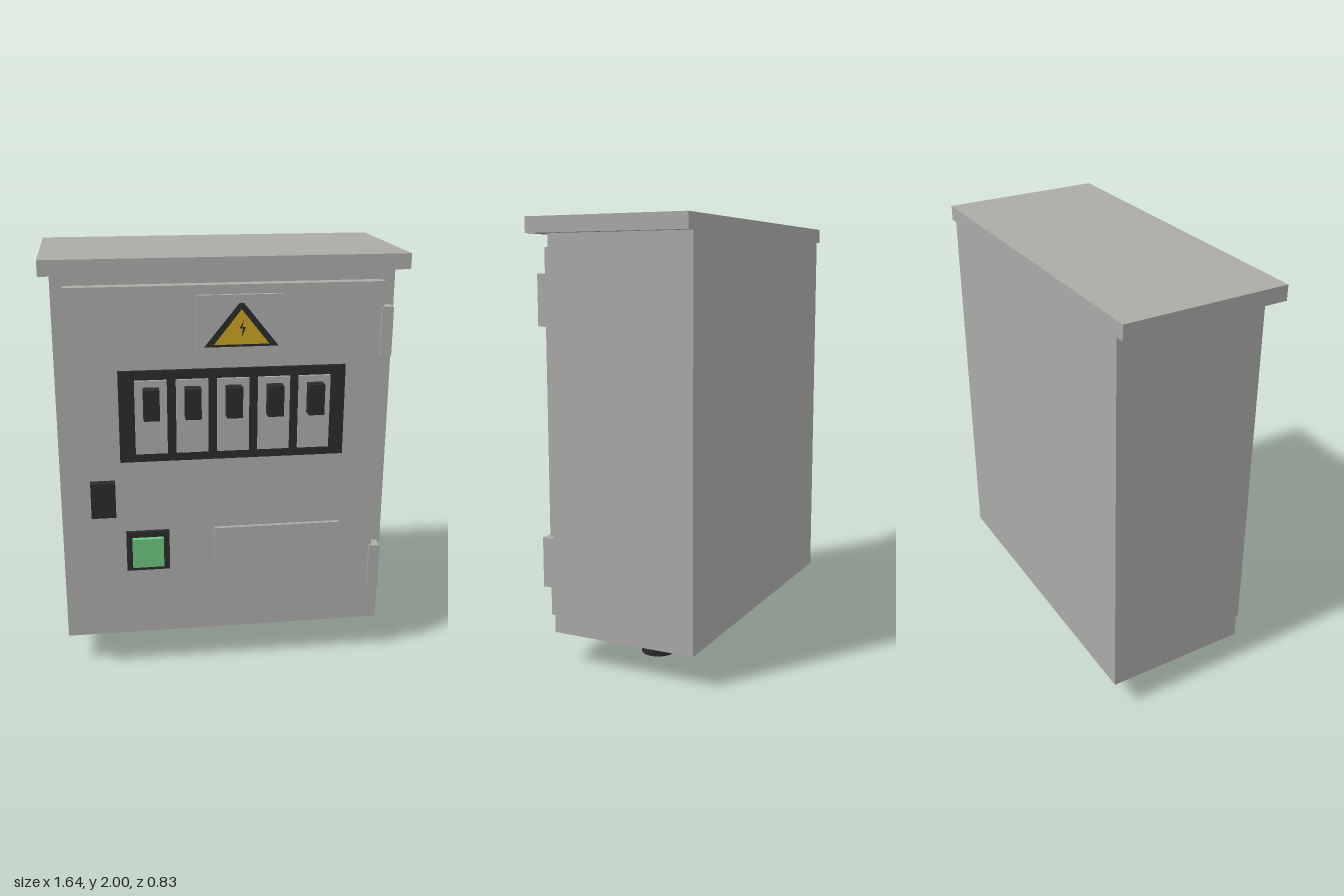
import * as THREE from 'three';

function material(name, color) {
  const m = new THREE.MeshStandardMaterial({ color });
  m.name = name;
  return m;
}

export function createModel() {
  const grey = material('cabinet grey', 0xaaaba7);
  const black = material('black plastic', 0x2b2b2b);
  const green = material('button green', 0x6cc47e);
  const yellow = material('warning yellow', 0xc9a21f);

  const model = new THREE.Group();
  model.name = 'electricalCabinet';

  // Box given by its limits on each axis
  function box(name, mat, [x0, x1], [y0, y1], [z0, z1]) {
    const mesh = new THREE.Mesh(new THREE.BoxGeometry(x1 - x0, y1 - y0, z1 - z0), mat);
    mesh.position.set((x0 + x1) / 2, (y0 + y1) / 2, (z0 + z1) / 2);
    mesh.name = name;
    model.add(mesh);
  }

  // Thin flat plate cut from an outline
  function plate(name, mat, points, z, depth) {
    const shape = new THREE.Shape(points.map(([x, y]) => new THREE.Vector2(x, y)));
    const mesh = new THREE.Mesh(new THREE.ExtrudeGeometry(shape, { depth, bevelEnabled: false }), mat);
    mesh.position.z = z;
    mesh.name = name;
    model.add(mesh);
  }

  // Housing, overhanging roof and door
  box('housing', grey, [-0.775, 0.775], [0.15, 1.93], [-0.415, 0.275]);
  box('roof', grey, [-0.82, 0.82], [1.93, 2], [-0.415, 0.36]);
  box('door', grey, [-0.72, 0.715], [0.205, 1.875], [0.275, 0.333]);
  for (const y of [0.35, 1.53]) box('hinge', grey, [0.703, 0.757], [y, y + 0.23], [0.275, 0.345]);

  // Warning sign
  box('warningPlate', grey, [-0.145, 0.253], [1.575, 1.833], [0.333, 0.353]);
  plate('warningBorder', black, [[-0.108, 1.6], [0.23, 1.6], [0.072, 1.795], [0.05, 1.795]], 0.353, 0.002);
  plate('warningTriangle', yellow, [[-0.063, 1.611], [0.187, 1.611], [0.061, 1.768]], 0.355, 0.002);
  plate('warningBolt', black,
    [[0.062, 1.642], [0.08, 1.69], [0.064, 1.688], [0.07, 1.72], [0.052, 1.682], [0.066, 1.682]], 0.357, 0.001);

  // Breaker row
  box('breakerPanel', black, [-0.495, 0.545], [1.07, 1.5], [0.333, 0.346]);
  for (let i = 0; i < 5; i++) {
    const x = -0.35 + i * 0.1875;
    box('breaker', grey, [x - 0.073, x + 0.073], [1.112, 1.457], [0.346, 0.36]);
    box('breakerToggle', black, [x - 0.036, x + 0.036], [1.285, 1.427], [0.36, 0.417]);
  }

  // Latch, push button and name plate
  box('latch', black, [-0.637, -0.523], [0.81, 0.98], [0.333, 0.374]);
  box('buttonFrame', black, [-0.479, -0.276], [0.525, 0.721], [0.333, 0.355]);
  box('pushButton', green, [-0.452, -0.305], [0.55, 0.694], [0.355, 0.38]);
  box('namePlate', grey, [-0.06, 0.545], [0.525, 0.721], [0.333, 0.353]);

  // Cable glands under the housing
  for (const x of [-0.435, 0.43]) {
    for (const [name, radius, y] of [['glandNut', 0.113, 0.1125], ['glandNeck', 0.078, 0.0375]]) {
      const mesh = new THREE.Mesh(new THREE.CylinderGeometry(radius, radius, 0.075, 24), black);
      mesh.position.set(x, y, -0.072);
      mesh.name = name;
      model.add(mesh);
    }
  }

  return model;
}
